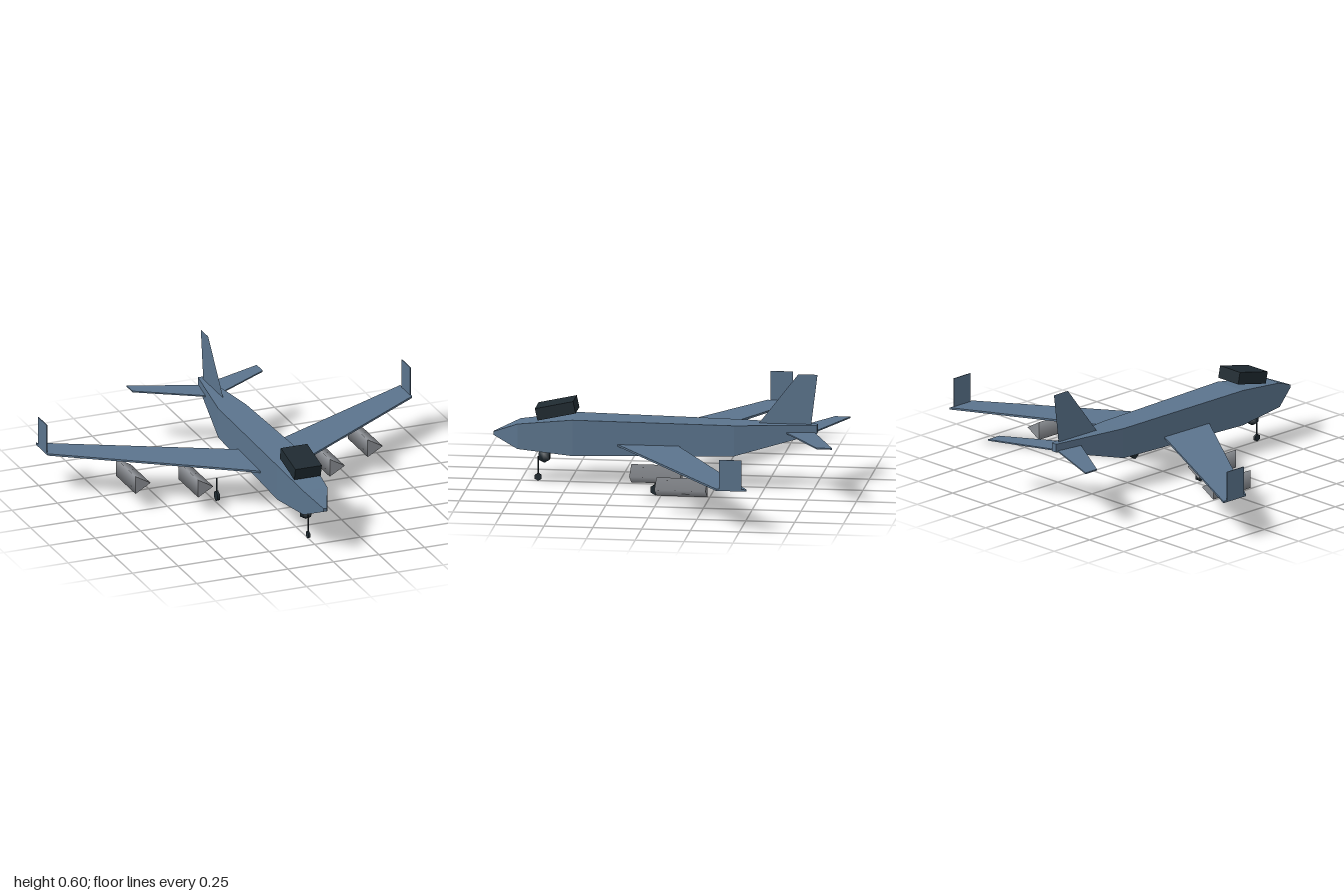
import * as THREE from 'three';

const mat = (name, color, opts = {}) => {
  const m = new THREE.MeshStandardMaterial({ color, ...opts });
  m.name = name;
  return m;
};

// Square-section hull; each station is [z, half width, bottom, top]
function loft(stations) {
  const rings = stations.map(([z, w, b, t]) => [[w, b, z], [w, t, z], [-w, t, z], [-w, b, z]]);
  const pos = [];
  const quad = (a, b, c, d) => pos.push(...a, ...b, ...c, ...a, ...c, ...d);
  for (let i = 0; i < rings.length - 1; i++) {
    const f = rings[i], r = rings[i + 1];
    for (let k = 0; k < 4; k++) {
      const n = (k + 1) % 4;
      quad(f[k], r[k], r[n], f[n]);
    }
  }
  const last = rings[rings.length - 1];
  quad(rings[0][0], rings[0][1], rings[0][2], rings[0][3]);
  quad(last[3], last[2], last[1], last[0]);
  const g = new THREE.BufferGeometry();
  g.setAttribute('position', new THREE.Float32BufferAttribute(pos, 3));
  g.computeVertexNormals();
  return g;
}

const shapeOf = (pts) => new THREE.Shape(pts.map(([a, b]) => new THREE.Vector2(a, b)));

// Thin horizontal panel from an (x, z) outline, with its top at y
function panel(pts, y, thickness) {
  const g = new THREE.ExtrudeGeometry(shapeOf(pts), { depth: thickness, bevelEnabled: false });
  return g.rotateX(Math.PI / 2).translate(0, y, 0);
}

export function createModel() {
  const blue = mat('blue paint', 0x5b748d);
  const blueThin = mat('blue thin paint', 0x5b748d, { side: THREE.DoubleSide });
  const dark = mat('dark', 0x1f2a31);
  const grey = mat('engine grey', 0x8b8e93);
  const model = new THREE.Group();
  model.name = 'aeroplane';
  const add = (name, geo, material, x = 0, y = 0, z = 0) => {
    const m = new THREE.Mesh(geo, material);
    m.name = name;
    m.position.set(x, y, z);
    model.add(m);
    return m;
  };

  add('fuselage', loft([
    [0.89, 0.009, 0.234, 0.251],
    [0.76, 0.066, 0.177, 0.307],
    [0.475, 0.093, 0.155, 0.342],
    [-0.35, 0.076, 0.175, 0.334],
    [-0.768, 0.016, 0.292, 0.336],
  ]), blue);

  // Raised, tilted canopy block
  add('canopy', new THREE.BoxGeometry(0.145, 0.063, 0.2), dark, 0, 0.382, 0.565).rotation.x = 0.217;

  // Upright tail fin
  add('tailFin', new THREE.ShapeGeometry(shapeOf([
    [-0.465, 0.33], [-0.735, 0.33], [-0.768, 0.595], [-0.67, 0.595],
  ])).rotateY(-Math.PI / 2), blueThin);

  // Wheel and slim strut
  const landingGear = (name, x, z, r, width, top) => {
    const wheel = new THREE.CylinderGeometry(r, r, width, 6).rotateY(Math.PI / 2).rotateZ(Math.PI / 2);
    add(name + 'Wheel', wheel, dark, x, r, z);
    add(name + 'Strut', new THREE.CylinderGeometry(0.004, 0.004, top - r, 6), dark, x, (top + r) / 2, z);
  };
  landingGear('noseGear', 0, 0.662, 0.02, 0.01, 0.128);
  add('chinTurret', new THREE.SphereGeometry(0.037, 6, 3), dark, 0, 0.131, 0.63);

  for (const [side, s] of [['left', 1], ['right', -1]]) {
    const mirror = (pts) => pts.map(([x, z]) => [s * x, z]);
    add(side + 'Wing', panel(mirror([[0.075, 0.252], [1, -0.38], [1, -0.538], [0.075, -0.064]]), 0.221, 0.01), blue);
    add(side + 'Winglet', new THREE.BoxGeometry(0.005, 0.157, 0.116), blue, s * 0.9975, 0.2935, -0.453);
    add(side + 'Tailplane', panel(mirror([[0.015, -0.6], [0.357, -0.81], [0.357, -0.89], [0.015, -0.755]]), 0.298, 0.007), blue);
    landingGear(side + 'MainGear', s * 0.24, 0.03, 0.028, 0.013, 0.125);

    // Three-sided engine pods, all with the ridge towards +x
    for (const [name, x, z] of [['InnerEngine', 0.361, 0.01], ['OuterEngine', 0.637, -0.155]]) {
      const pod = new THREE.CylinderGeometry(0.055, 0.055, 0.262, 3).rotateX(Math.PI / 2).rotateZ(Math.PI / 2);
      add(side + name, pod, grey, s * x, 0.132, z);
    }
  }
  return model;
}
